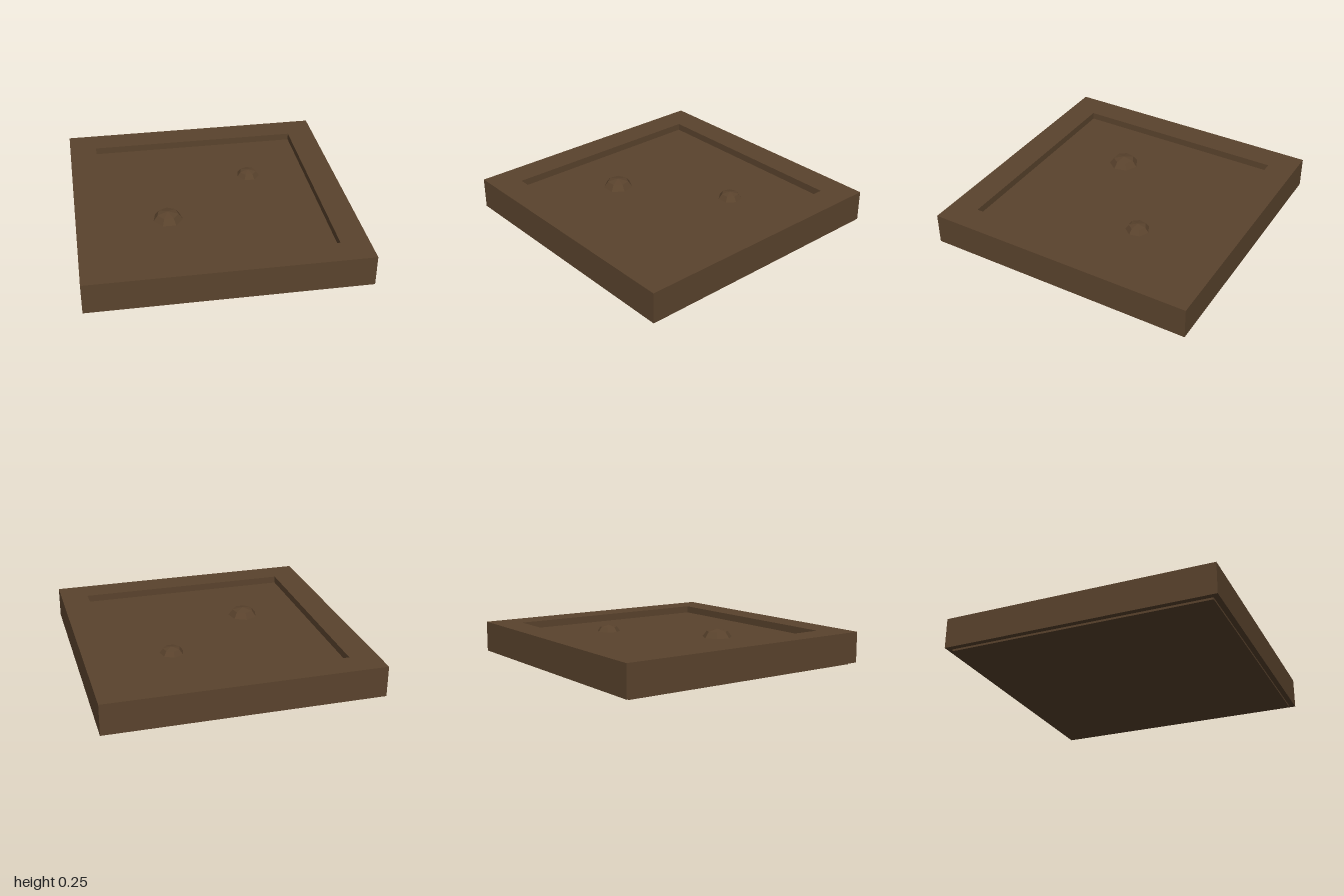
import * as THREE from 'three';

export function createModel() {
  const model = new THREE.Group();
  const soil = new THREE.MeshStandardMaterial({ color: 0x5a432d });
  soil.name = 'brown soil';
  soil.flatShading = true;

  const add = (name, geometry, x, y, z) => {
    const mesh = new THREE.Mesh(geometry, soil);
    mesh.name = name;
    mesh.position.set(x, y, z);
    model.add(mesh);
    return mesh;
  };

  const FOOT = 0.015, FLOOR = 0.19, TOP = 0.243, INNER = 0.795;

  // Thin foot plate, set in from the edge
  add('footPlate', new THREE.BoxGeometry(1.92, FOOT, 1.92), 0, FOOT / 2, 0);

  // Slab under the recess
  add('slab', new THREE.BoxGeometry(2, FLOOR - FOOT, 2), 0, (FLOOR + FOOT) / 2, 0);

  // Raised square rim around the recess
  const square = (Type, r) => new Type([[-r, -r], [r, -r], [r, r], [-r, r]].map(([x, y]) => new THREE.Vector2(x, y)));
  const outline = square(THREE.Shape, 1);
  outline.holes.push(square(THREE.Path, INNER));
  const rim = new THREE.ExtrudeGeometry(outline, { depth: TOP - FLOOR, bevelEnabled: false });
  rim.rotateX(-Math.PI / 2);
  add('rim', rim, 0, FLOOR, 0);

  // Faceted seven-sided mounds on the recess floor, one corner towards the back
  const mound = (name, x, z, radius) => {
    const dome = new THREE.SphereGeometry(radius, 7, 2, Math.PI * 1.5, Math.PI * 2, 0, Math.PI / 2);
    dome.scale(1, 0.55, 1);
    add(name, dome, x, FLOOR, z);
  };
  mound('largeMound', -0.335, 0.228, 0.111);
  mound('smallMound', 0.355, -0.286, 0.088);

  return model;
}
